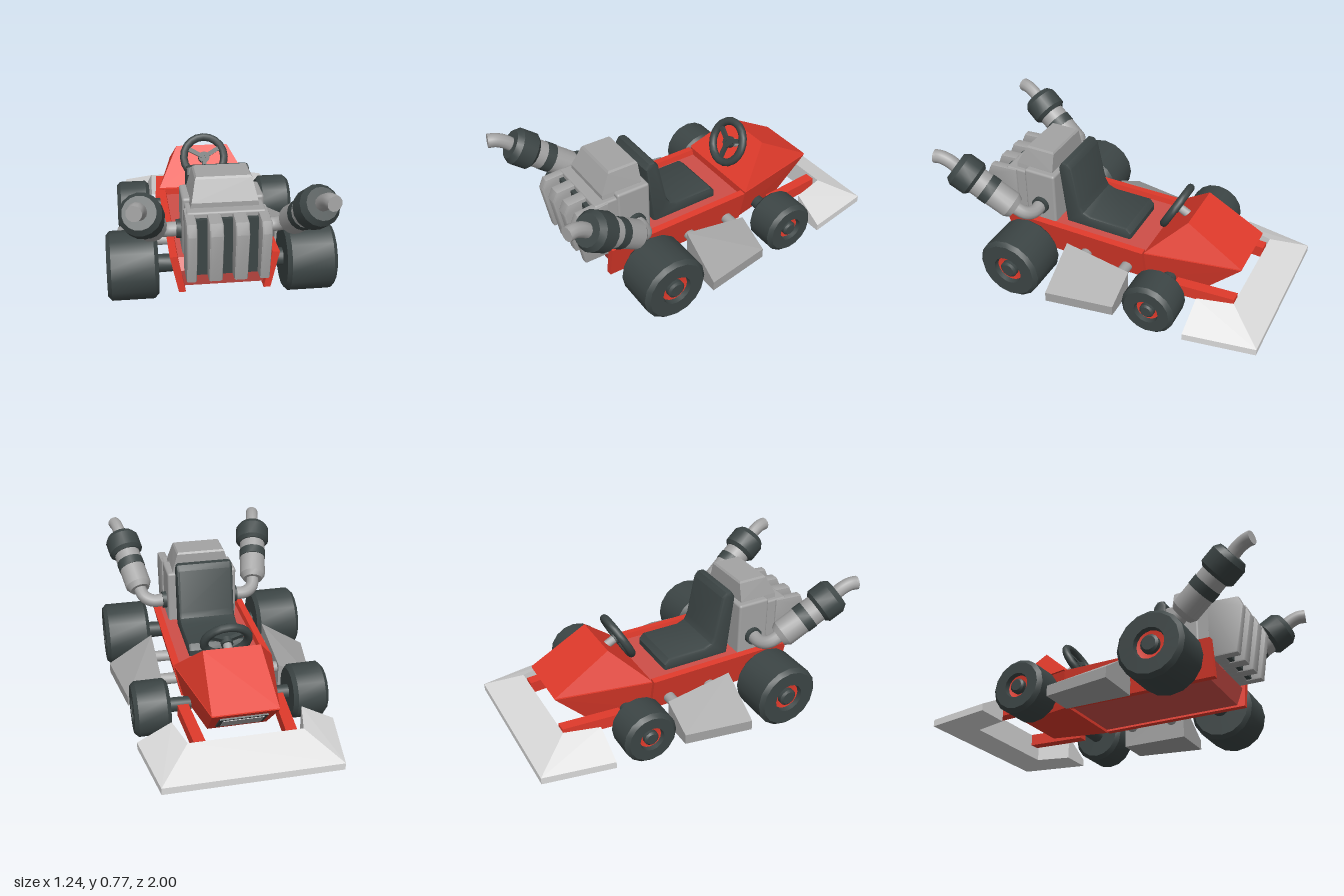
import * as THREE from 'three';
import { toCreasedNormals } from 'three/addons/utils/BufferGeometryUtils.js';
import { RoundedBoxGeometry } from 'three/addons/geometries/RoundedBoxGeometry.js';
import { ConvexGeometry } from 'three/addons/geometries/ConvexGeometry.js';

const material = (name, color) => {
  const m = new THREE.MeshStandardMaterial({ color });
  m.name = name;
  return m;
};
const V = (x, y, z) => new THREE.Vector3(x, y, z);

export function createModel() {
  const red = material('red paint', 0xe03a2b);
  const paleRed = material('pale red tub', 0xcf4e48);
  const dark = material('dark rubber', 0x3c4545);
  const grey = material('grey metal', 0xa3a3a3);
  const light = material('light grey wing', 0xdadada);
  const kart = new THREE.Group();
  kart.name = 'kart';

  const add = (name, geometry, mat, parent = kart) => {
    const mesh = new THREE.Mesh(geometry, mat);
    mesh.name = name;
    parent.add(mesh);
    return mesh;
  };
  // Convex solid from its corner points [x, y, z]
  const hull = (name, points, mat) =>
    add(name, new ConvexGeometry(points.map(p => V(...p))), mat);
  // Corner points mirrored to both sides of the centre line
  const both = points => points.flatMap(([x, y, z]) => [[x, y, z], [-x, y, z]]);
  // Round bar between two points
  const bar = (name, a, b, r0, r1, mat, sides = 16) => {
    const dir = b.clone().sub(a);
    const geo = toCreasedNormals(new THREE.CylinderGeometry(r1, r0, dir.length(), sides), 0.7);
    const mesh = add(name, geo, mat);
    mesh.position.copy(a).add(b).multiplyScalar(0.5);
    mesh.quaternion.setFromUnitVectors(V(0, 1, 0), dir.normalize());
    return mesh;
  };
  // Bevelled side profile [z, y], extruded across x
  const slab = (name, profile, width, x, bevel, mat) => {
    const shape = new THREE.Shape(profile.map(([z, y]) => new THREE.Vector2(-z, y)));
    const geo = new THREE.ExtrudeGeometry(shape, {
      depth: width - 2 * bevel, bevelSize: bevel, bevelThickness: bevel,
      bevelOffset: -bevel, bevelSegments: 2,
    });
    geo.translate(0, 0, -width / 2 + bevel);
    geo.rotateY(Math.PI / 2);
    const mesh = add(name, toCreasedNormals(geo, 0.6), mat);
    mesh.position.x = x;
  };

  // Tub and nose
  hull('tub', both([
    [0.21, 0.135, -0.235], [0.245, 0.3, -0.235],
    [0.21, 0.135, 0.61], [0.235, 0.24, 0.64], [0.245, 0.3, 0.6],
  ]), paleRed);
  hull('lowerNose', both([
    [0.235, 0.125, -0.245], [0.285, 0.332, -0.245],
    [0.165, 0.125, -0.59], [0.18, 0.332, -0.785],
  ]), red);
  hull('hood', both([
    [0.285, 0.34, -0.247], [0.16, 0.537, -0.453], [0.18, 0.34, -0.785],
  ]), red);
  const grille = new THREE.Group();
  grille.name = 'grille';
  grille.position.set(0, 0.235, -0.694);
  grille.rotation.x = -Math.atan2(0.195, 0.207);
  kart.add(grille);
  add('grilleFrame', new THREE.BoxGeometry(0.26, 0.16, 0.018), dark, grille);
  add('grillePanel', new THREE.BoxGeometry(0.22, 0.12, 0.026), grey, grille);

  // Front wing: three tapered pieces sloping down to the outer edge
  const wingStation = (xo, zo, xi, zi) =>
    [[xo, 0.06, zo], [xo, 0.1, zo], [xi, 0.205, zi], [xi, 0.06, zi]];
  const wingCorner = wingStation(0.48, -1, 0.31, -0.8);
  const wingEnd = wingStation(0.55, -0.6, 0.36, -0.6);
  hull('wingMiddle', both(wingCorner), light);

  for (const s of [1, -1]) {
    const side = s > 0 ? 'left' : 'right';
    const flip = pts => pts.map(([x, y, z]) => [s * x, y, z]);

    hull(side + 'WingEnd', flip([...wingCorner, ...wingEnd]), light);
    hull(side + 'WingStrut', flip([-0.44, -0.79].flatMap((z, i) => {
      const x = i ? 0.215 : 0.24;
      return [[x, 0.13, z], [x, 0.2, z], [x + 0.062, 0.2, z], [x + 0.062, 0.13, z]];
    })), red);

    // Slanted side rail
    hull(side + 'Rail', flip([-0.235, 0.655].flatMap(z => [
      [0.208, 0.122, z], [0.245, 0.122, z], [0.29, 0.33, z], [0.25, 0.333, z],
    ])), red);

    // Side pod on two rods
    hull(side + 'SidePod', flip([
      [0.35, 0.06, -0.18], [0.35, 0.22, -0.18], [0.55, 0.12, -0.18], [0.55, 0.06, -0.18],
      [0.35, 0.06, 0.215], [0.35, 0.29, 0.215], [0.615, 0.12, 0.215], [0.615, 0.06, 0.215],
    ]), grey);
    for (const z of [-0.127, 0.138])
      bar(side + 'PodRod', V(s * 0.23, 0.18, z), V(s * 0.37, 0.18, z), 0.033, 0.033, grey, 12);

    // Wheels with recessed red rims
    for (const [end, x0, x1, y, z, r] of [
      ['Front', 0.345, 0.547, 0.168, -0.383, 0.157], ['Rear', 0.345, 0.618, 0.195, 0.457, 0.19]]) {
      const w = x1 - x0, rim = r * 0.46, c = 0.022;
      const wheel = new THREE.Group();
      wheel.name = side + end + 'Wheel';
      wheel.position.set(s * x0, y, z);
      wheel.rotation.z = -s * Math.PI / 2;
      kart.add(wheel);
      const tyre = [[0, 0], [r - c, 0], [r, c], [r, w - c], [r - c, w], [rim, w], [rim * 0.92, w - 0.03]];
      const rimProfile = [[rim * 0.93, w - 0.028], [rim * 0.55, w - 0.035], [0, w - 0.035]];
      const lathe = pts => toCreasedNormals(
        new THREE.LatheGeometry(pts.map(p => new THREE.Vector2(...p)), 16), 0.5);
      add('tyre', lathe(tyre), dark, wheel);
      add('rim', lathe(rimProfile), red, wheel);
      add('hub', lathe([[r * 0.27, w - 0.04], [r * 0.27, w - 0.01], [r * 0.2, w], [0, w]]), dark, wheel);
      const ra = r * 0.27;
      bar(side + end + 'Axle', V(s * 0.22, y, z), V(s * 0.36, y, z), ra * 0.92, ra, dark);
    }

    // Exhaust: port, bent pipe, muffler with dark bands, tail pipe
    const P = (x, y, z) => V(s * x, y, z);
    const tube = (name, pts) => add(side + name,
      new THREE.TubeGeometry(new THREE.CatmullRomCurve3(pts), 16, 0.04, 12), grey);
    const a = P(0.372, 0.458, 0.545), b = P(0.445, 0.69, 0.868);
    const at = t => a.clone().lerp(b, t);
    bar(side + 'ExhaustPort', P(0.2, 0.4, 0.46), P(0.24, 0.4, 0.46), 0.052, 0.052, dark);
    tube('ExhaustPipe', [P(0.22, 0.4, 0.46), P(0.3, 0.4, 0.462), P(0.35, 0.42, 0.49), at(0.05)]);
    bar(side + 'MufflerEnd', at(-0.03), at(0.05), 0.062, 0.082, grey);
    bar(side + 'Muffler', at(0.05), at(0.72), 0.082, 0.082, grey);
    bar(side + 'MufflerBand', at(0.36), at(0.5), 0.085, 0.085, dark);
    bar(side + 'MufflerCapLower', at(0.64), at(0.69), 0.088, 0.108, dark);
    bar(side + 'MufflerCap', at(0.69), at(0.92), 0.108, 0.108, dark);
    bar(side + 'MufflerCapUpper', at(0.92), at(1), 0.108, 0.085, dark);
    const tip = P(0.472, 0.74, 0.985);
    tube('TailPipe', [at(0.95), P(0.452, 0.717, 0.9), P(0.462, 0.737, 0.945), tip]);
    bar(side + 'TailPipeEnd', P(0.469, 0.739, 0.972), tip, 0.04, 0.04, grey, 12);
  }

  // Seat
  slab('seat', [
    [-0.105, 0.29], [-0.105, 0.335], [-0.075, 0.367], [0.16, 0.367], [0.205, 0.385], [0.225, 0.42],
    [0.275, 0.67], [0.3, 0.7], [0.335, 0.7], [0.357, 0.665], [0.315, 0.29],
  ], 0.345, 0, 0.018, dark);

  // Steering wheel, facing back and up
  const steering = new THREE.Group();
  steering.name = 'steeringWheel';
  steering.position.set(0, 0.505, -0.318);
  steering.rotation.x = -0.48;
  kart.add(steering);
  add('steeringRim', new THREE.TorusGeometry(0.126, 0.024, 10, 20), dark, steering);
  const hub = add('steeringHub', new THREE.CylinderGeometry(0.035, 0.035, 0.035, 12), dark, steering);
  hub.rotation.x = Math.PI / 2;
  hub.position.z = -0.01;
  for (let i = 0; i < 3; i++) {
    const geo = new THREE.BoxGeometry(0.026, 0.12, 0.02).translate(0, 0.065, 0);
    add('steeringSpoke', geo, dark, steering).rotation.z = Math.PI / 3 + i * Math.PI * 2 / 3;
  }
  const column = add('steeringColumn', new THREE.CylinderGeometry(0.025, 0.025, 0.14, 12), grey, steering);
  column.rotation.x = Math.PI / 2;
  column.position.z = -0.08;

  // Engine: two blocks, tapered top cover, four fins over a dark core
  add('engineFrontBlock', new RoundedBoxGeometry(0.43, 0.37, 0.2, 2, 0.015), grey)
    .position.set(0, 0.433, 0.465);
  add('engineRearBlock', new RoundedBoxGeometry(0.41, 0.345, 0.16, 2, 0.012), grey)
    .position.set(0, 0.422, 0.615);
  hull('engineCover', both([
    [0.178, 0.585, 0.395], [0.178, 0.585, 0.635], [0.172, 0.62, 0.635], [0.178, 0.62, 0.395],
    [0.148, 0.727, 0.578], [0.14, 0.738, 0.57], [0.14, 0.738, 0.405], [0.148, 0.727, 0.397],
  ]), grey);
  add('engineCore', new THREE.BoxGeometry(0.39, 0.31, 0.06), dark).position.set(0, 0.41, 0.69);
  for (const [x, w] of [[-0.188, 0.054], [-0.065, 0.072], [0.065, 0.072], [0.188, 0.054]]) {
    slab('engineFin', [
      [0.62, 0.247], [0.78, 0.247], [0.826, 0.52], [0.8, 0.58], [0.62, 0.592],
    ], w, x, 0.01, grey);
  }
  return kart;
}
